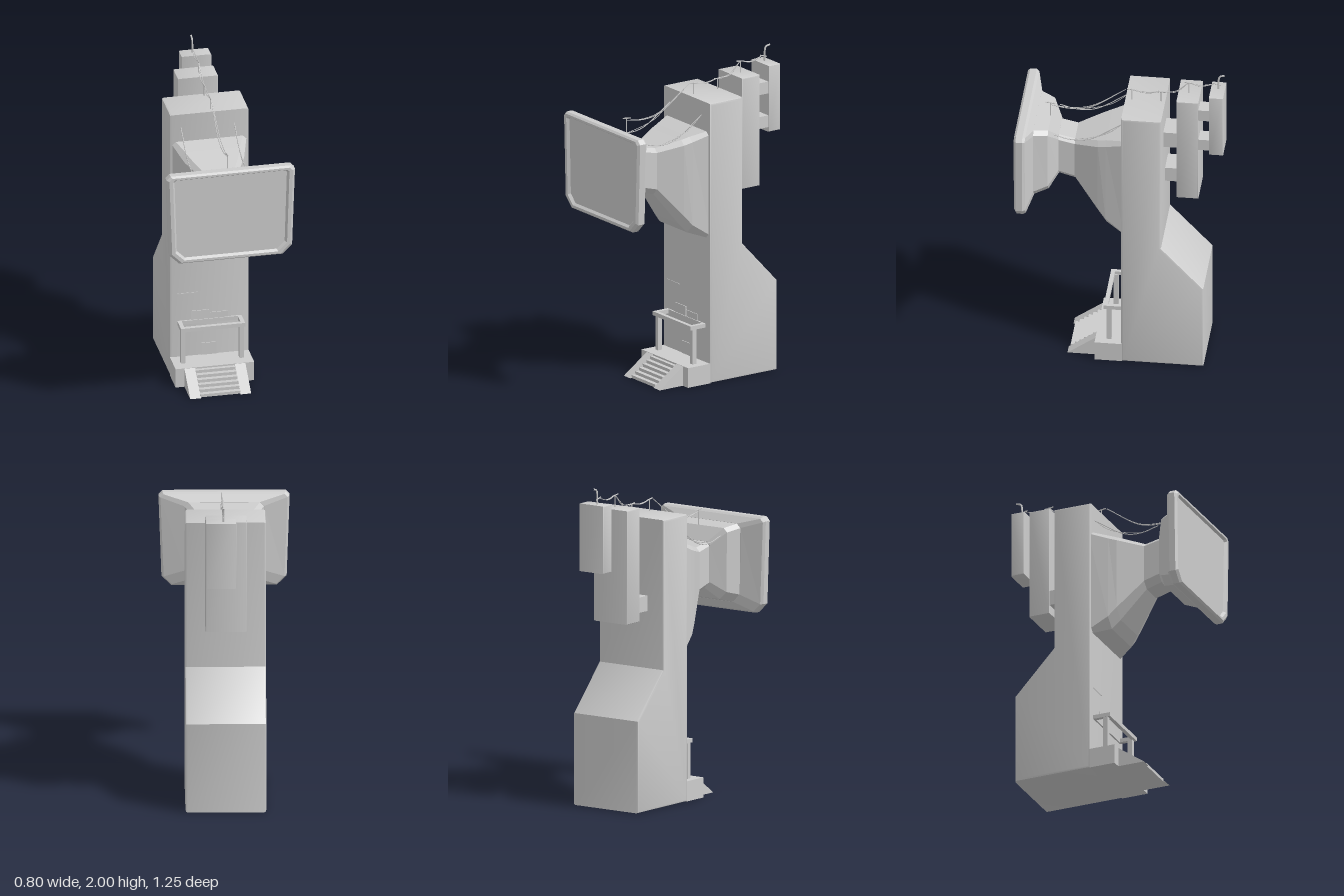
import * as THREE from 'three';
import { toCreasedNormals } from 'three/addons/utils/BufferGeometryUtils.js';

const flat = new THREE.MeshStandardMaterial({ color: 0xcccccc, flatShading: true, side: THREE.DoubleSide });
const smooth = new THREE.MeshStandardMaterial({ color: 0xcccccc });

export function createModel() {
  const model = new THREE.Group();

  const add = (name, geometry, material = flat) => {
    const mesh = new THREE.Mesh(geometry, material);
    mesh.name = name;
    model.add(mesh);
    return mesh;
  };

  // Box given by its extents
  const box = (name, x0, x1, y0, y1, z0, z1) => {
    const g = new THREE.BoxGeometry(x1 - x0, y1 - y0, z1 - z0);
    g.translate((x0 + x1) / 2, (y0 + y1) / 2, (z0 + z1) / 2);
    return add(name, g);
  };

  // Side profile of [z, y] points extruded across x
  const sideExtrude = (name, points, x0, x1, bevel = 0) => {
    const shape = new THREE.Shape(points.map(p => new THREE.Vector2(...p)));
    const g = new THREE.ExtrudeGeometry(shape, {
      depth: x1 - x0 - 2 * bevel, bevelEnabled: bevel > 0, bevelSize: bevel,
      bevelThickness: bevel, bevelOffset: -bevel, bevelSegments: 2
    });
    g.rotateY(-Math.PI / 2).translate(x1 - bevel, 0, 0);
    return add(name, bevel ? toCreasedNormals(g, 0.6) : g, bevel ? smooth : flat);
  };

  // Eight-sided section: half widths at top and bottom, corner cuts at top and bottom
  const ring = (z, wt, wb, y0, y1, ct, cb) => [
    [-wb + cb, y0], [wb - cb, y0], [wb, y0 + cb], [wt, y1 - ct],
    [wt - ct, y1], [-wt + ct, y1], [-wt, y1 - ct], [-wb, y0 + cb]
  ].map(([x, y]) => [x, y, z]);

  // Skin between successive sections, closed at both ends
  const loft = (name, rings) => {
    const n = 8, pos = rings.flat(2), idx = [];
    for (let r = 0; r < rings.length - 1; r++)
      for (let i = 0; i < n; i++) {
        const a = r * n + i, b = r * n + (i + 1) % n;
        idx.push(a, b, b + n, a, b + n, a + n);
      }
    const last = (rings.length - 1) * n;
    for (let i = 1; i < n - 1; i++) {
      idx.push(0, i + 1, i);
      idx.push(last, last + i, last + i + 1);
    }
    const g = new THREE.BufferGeometry();
    g.setAttribute('position', new THREE.Float32BufferAttribute(pos, 3));
    g.setIndex(idx);
    g.computeVertexNormals();
    return add(name, g);
  };

  // Thin rod or cable through points
  const wire = (name, points, radius, segments = 10) => {
    const curve = new THREE.CatmullRomCurve3(points.map(p => new THREE.Vector3(...p)));
    return add(name, new THREE.TubeGeometry(curve, segments, radius, 5), smooth);
  };

  // Tower with a stepped-out rear base
  sideExtrude('tower', [
    [-0.015, 0], [-0.015, 1.78], [-0.26, 1.78], [-0.26, 0.85], [-0.52, 0.57], [-0.52, 0]
  ], -0.247, 0.247, 0.014);

  // Horn-shaped neck carrying the screen
  loft('neck', [
    ring(-0.03, 0.235, 0.235, 0.915, 1.6, 0.02, 0.02),
    ring(0.085, 0.2, 0.205, 0.955, 1.57, 0.03, 0.06),
    ring(0.135, 0.185, 0.185, 1.015, 1.555, 0.03, 0.06),
    ring(0.285, 0.112, 0.112, 1.215, 1.512, 0.025, 0.04),
    ring(0.39, 0.112, 0.112, 1.245, 1.535, 0.025, 0.04)
  ]);
  loft('screenHousing', [
    ring(0.385, 0.115, 0.115, 1.245, 1.535, 0.02, 0.04),
    ring(0.44, 0.205, 0.2, 1.175, 1.62, 0.025, 0.05),
    ring(0.53, 0.245, 0.24, 1.15, 1.64, 0.025, 0.05)
  ]);

  // Screen bezel with a recessed face
  loft('screen', [
    ring(0.525, 0.245, 0.24, 1.15, 1.64, 0.025, 0.05),
    ring(0.56, 0.388, 0.368, 1.1, 1.68, 0.02, 0.05),
    ring(0.575, 0.4, 0.382, 1.09, 1.69, 0.025, 0.06),
    ring(0.615, 0.4, 0.382, 1.09, 1.69, 0.025, 0.06),
    ring(0.628, 0.385, 0.368, 1.1, 1.68, 0.02, 0.06),
    ring(0.628, 0.363, 0.348, 1.115, 1.667, 0.012, 0.055),
    ring(0.612, 0.35, 0.336, 1.127, 1.657, 0.01, 0.05)
  ]);

  // Rear hanging boxes and the arms joining them
  const pod = (name, x0, x1, y0, y1, z0, z1) =>
    sideExtrude(name, [[z1, y0], [z1, y1], [z0, y1], [z0, y0]], x0, x1, 0.008);
  pod('innerPod', -0.128, 0.125, 1.15, 1.855, -0.475, -0.34);
  pod('outerPod', -0.062, 0.125, 1.48, 1.9, -0.627, -0.54);
  box('upperArm', -0.04, 0.12, 1.515, 1.62, -0.35, -0.25);
  box('lowerArm', -0.125, 0.03, 1.205, 1.3, -0.35, -0.25);
  box('outerUpperArm', 0.02, 0.12, 1.725, 1.8, -0.55, -0.465);
  box('outerLowerArm', 0.02, 0.12, 1.51, 1.585, -0.55, -0.465);

  // Porch and stairs
  box('porch', -0.245, 0.245, 0, 0.125, -0.02, 0.148);
  for (const s of [-1, 1]) {
    const x0 = s < 0 ? -0.19 : 0.123;
    sideExtrude('stairSide', [[0.145, 0], [0.32, 0], [0.145, 0.125]], x0, x0 + 0.067);
    box('porchPost', s * 0.183 - 0.014, s * 0.183 + 0.014, 0.125, 0.35, 0.05, 0.08);
  }
  const steps = 6;
  for (let i = 0; i < steps; i++)
    box('step', -0.125, 0.125, 0, 0.115 * (i + 1) / steps, 0.14, 0.308 - 0.165 * i / steps);

  // Open frame over the porch
  const rect = (P, x0, y0, x1, y1) => new P([[x0, y0], [x1, y0], [x1, y1], [x0, y1]]
    .map(p => new THREE.Vector2(...p)));
  const frame = rect(THREE.Shape, -0.2, -0.097, 0.2, 0.016);
  frame.holes.push(rect(THREE.Path, -0.175, -0.072, 0.175, 0.005));
  add('porchCanopy', new THREE.ExtrudeGeometry(frame, { depth: 0.025, bevelEnabled: false })
    .rotateX(-Math.PI / 2).translate(0, 0.345, 0));

  // Small panels and a ledge on the tower front
  box('frontPanel', -0.115, -0.003, 0.355, 0.43, -0.02, -0.01);
  box('frontPanel', 0.003, 0.115, 0.355, 0.41, -0.02, -0.01);
  box('doorPanel', -0.05, 0.045, 0.125, 0.205, -0.02, -0.01);
  box('frontLedge', -0.2, -0.075, 0.552, 0.557, -0.02, -0.012);

  // Masts along the roof, as [z, bottom, top]
  const X = 0.015;
  for (const [z, y0, y1] of [[-0.055, 1.77, 1.853], [-0.235, 1.77, 1.85],
    [-0.405, 1.85, 1.93], [0.445, 1.62, 1.715]]) {
    wire('mast', [[X, y0, z], [X, y1, z]], 0.004, 1);
    wire('mastArm', [[X, y1 - 0.006, z - 0.03], [X, y1 + 0.002, z + 0.03]], 0.004, 1);
  }
  wire('hookedMast', [[X, 1.89, -0.587], [X, 1.96, -0.587], [X, 1.988, -0.595], [X, 1.997, -0.625]], 0.006);
  wire('mastArm', [[X, 1.925, -0.6], [X, 1.94, -0.55]], 0.004, 1);

  // Sagging cables between masts, paired at the centre
  for (const s of [-1, 1]) {
    const dx = s * 0.006;
    wire('frontCable', [[X, 1.7, 0.445], [X + dx, 1.685, 0.33], [X + dx, 1.705, 0.2], [X, 1.85, -0.02]], 0.0025, 16);
    wire('roofCable', [[X, 1.85, -0.055], [X + dx, 1.836, -0.145], [X, 1.85, -0.235]], 0.0025);
    wire('podCable', [[X, 1.85, -0.235], [X + dx, 1.855, -0.32], [X, 1.93, -0.405]], 0.0025);
    wire('rearCable', [[X, 1.93, -0.405], [X + dx, 1.912, -0.48], [X, 1.932, -0.56]], 0.0025);
    // Side cables from the tower to the screen housing
    const x = s < 0 ? -0.177 : 0.155;
    wire('sideCable', [[x, 1.575, 0.41], [x, 1.548, 0.3], [x, 1.56, 0.19], [x, 1.69, -0.018]], 0.003, 16);
    wire('sideCable', [[x, 1.548, 0.3], [x, 1.575, 0.17], [x, 1.61, 0.08], [x, 1.69, -0.018]], 0.002, 12);
  }
  return model;
}
